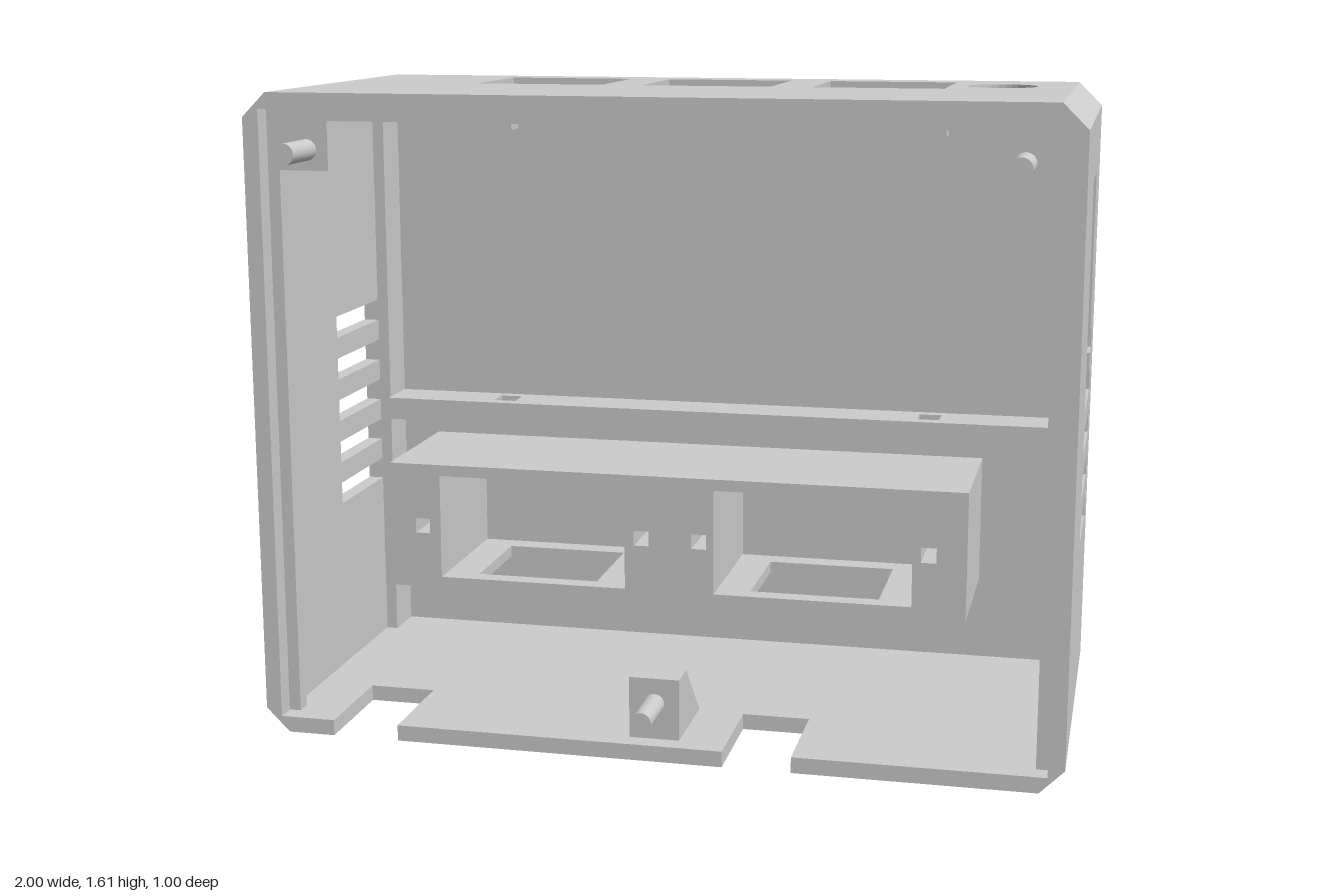
import * as THREE from 'three';

const rectPts = (a, b, c, d) => [[a, b], [c, b], [c, d], [a, d]];
const vec = (pts) => pts.map(([x, y]) => new THREE.Vector2(x, y));

export function createModel() {
  const group = new THREE.Group();
  const mat = new THREE.MeshStandardMaterial({ color: 0xcccccc });

  const add = (name, geo, x = 0, y = 0, z = 0) => {
    const m = new THREE.Mesh(geo, mat);
    m.name = name;
    m.position.set(x, y, z);
    group.add(m);
    return m;
  };
  const extrude = (pts, holes, depth) => {
    const s = new THREE.Shape(vec(pts));
    holes.forEach((h) => s.holes.push(new THREE.Path(vec(h))));
    return new THREE.ExtrudeGeometry(s, { depth, bevelEnabled: false });
  };
  // outline in (x, y), running forward from z
  const frontal = (name, pts, holes, depth, z) => add(name, extrude(pts, holes, depth), 0, 0, z);
  // outline in (x, z), running down from y
  const flat = (name, pts, holes, depth, y) =>
    add(name, extrude(pts, holes, depth).rotateX(Math.PI / 2), 0, y, 0);
  // outline in (z, y), running towards -x from x
  const side = (name, pts, holes, depth, x) =>
    add(name, extrude(pts, holes, depth).rotateY(-Math.PI / 2), x, 0, 0);
  const box = (name, x0, x1, y0, y1, z0, z1) =>
    add(name, new THREE.BoxGeometry(x1 - x0, y1 - y0, z1 - z0), (x0 + x1) / 2, (y0 + y1) / 2, (z0 + z1) / 2);

  const H = 1.61, B = -0.5, IB = -0.46, F = 0.41, T = 0.04, C = 0.06;

  // Back wall with chamfered corners
  frontal('backWall', [[-1, C], [-1 + C, 0], [1 - C, 0], [1, C], [1, H - C], [1 - C, H], [-1 + C, H], [-1, H - C]],
    [], IB - B, B);

  // Chamfered corner strips
  for (const sx of [-1, 1]) {
    for (const top of [false, true]) {
      const Y = (v) => (top ? H - v : v);
      frontal('cornerStrip',
        [[0.94, T], [0.96, T], [0.96, C], [1, C], [0.94, 0]].map(([x, y]) => [sx * x, Y(y)]), [], F - IB, IB);
    }
  }

  // Top with three windows and a round hole
  const circle = Array.from({ length: 32 }, (_, i) => {
    const a = (i / 32) * Math.PI * 2;
    return [0.76 + 0.088 * Math.cos(a), -0.245 + 0.088 * Math.sin(a)];
  });
  const windows = [-0.57, -0.135, 0.3].map((x) => rectPts(x, -0.4, x + 0.33, -0.09));
  flat('top', rectPts(-0.94, IB, 0.94, F), [...windows, circle], T, H);

  // Floor with two notches in the front edge
  const N = 0.14;
  flat('floor', [[-0.94, IB], [0.94, IB], [0.94, F], [0.35, F], [0.35, N], [0.18, N], [0.18, F],
    [-0.65, F], [-0.65, N], [-0.82, N], [-0.82, F], [-0.94, F]], [], T, T);

  // Side walls with vent slots; the left one also has a tall window joined to its upper slots
  const slots = [0.485, 0.598, 0.712, 0.825, 0.938].map((y) => rectPts(-0.345, y, -0.04, y + 0.057));
  const wall = rectPts(IB, C, F, H - C);
  const tall = [[-0.03, 0.825], [-0.03, 1.4], [-0.25, 1.4], [-0.25, 0.995], [-0.345, 0.995],
    [-0.345, 0.938], [-0.25, 0.938], [-0.25, 0.882], [-0.345, 0.882], [-0.345, 0.825]];
  side('rightWall', wall, slots, T, -0.96);
  side('leftWall', wall, [...slots.slice(0, 3), tall], T, 1);

  // Lid stop ribs inside the opening and rear posts
  for (const s of [-1, 1]) {
    const [a, b] = s > 0 ? [0.93, 0.96] : [-0.96, -0.93];
    box('stopRib', a, b, T, 1.57, 0.32, 0.36);
    box('rearPost', a, b, T, 1.57, IB, -0.345);
  }
  box('topStopRib', -0.93, 0.93, 1.54, 1.57, 0.32, 0.36);

  // Rear rail with clip tabs, and the shelf below with matching holes
  box('rearRail', -0.93, 0.93, 1.5, 1.57, IB, -0.33);
  for (const x of [-0.6, 0.58]) box('clipTab', x - 0.03, x + 0.03, 1.47, 1.5, -0.43, -0.37);
  flat('shelf', rectPts(-0.93, IB, 0.93, -0.33),
    [-0.6, 0.58].map((x) => rectPts(x - 0.03, -0.43, x + 0.03, -0.365)), 0.06, 0.72);

  // Socket box: pocketed body over a floor plate with cutouts
  const P = 0.29, Q = 0.57, pockets = [[-0.69, -0.18], [0.06, 0.58]];
  const body = [[-0.83, P]];
  pockets.forEach(([a, b]) => body.push([a, P], [a, Q], [b, Q], [b, P]));
  body.push([0.72, P], [0.72, 0.6], [-0.83, 0.6]);
  frontal('socketBox', body,
    [-0.74, -0.135, 0.02, 0.622].map((x) => rectPts(x - 0.02, 0.41, x + 0.02, 0.45)), 0.4, IB);
  flat('socketBoxFloor', rectPts(-0.83, IB, 0.72, -0.06),
    pockets.map(([a, b]) => rectPts(a + 0.09, -0.4, b - 0.09, -0.11)), 0.03, P);

  // Tapered lugs with locating pegs
  const lug = (x0, x1, base, tip, pegX, pegY) => {
    side('pegLug', [[0.36, base], [0.36, tip], [0.28, tip], [0.28 - Math.abs(tip - base), base]], [], x1 - x0, x1);
    add('peg', new THREE.CylinderGeometry(0.026, 0.026, 0.15, 24).rotateX(Math.PI / 2), pegX, pegY, 0.425);
  };
  lug(-0.96, -0.805, 1.57, 1.42, -0.86, 1.47);
  lug(0.805, 0.96, 1.57, 1.42, 0.86, 1.47);
  lug(-0.063, 0.063, T, 0.195, 0, 0.13);

  return group;
}
